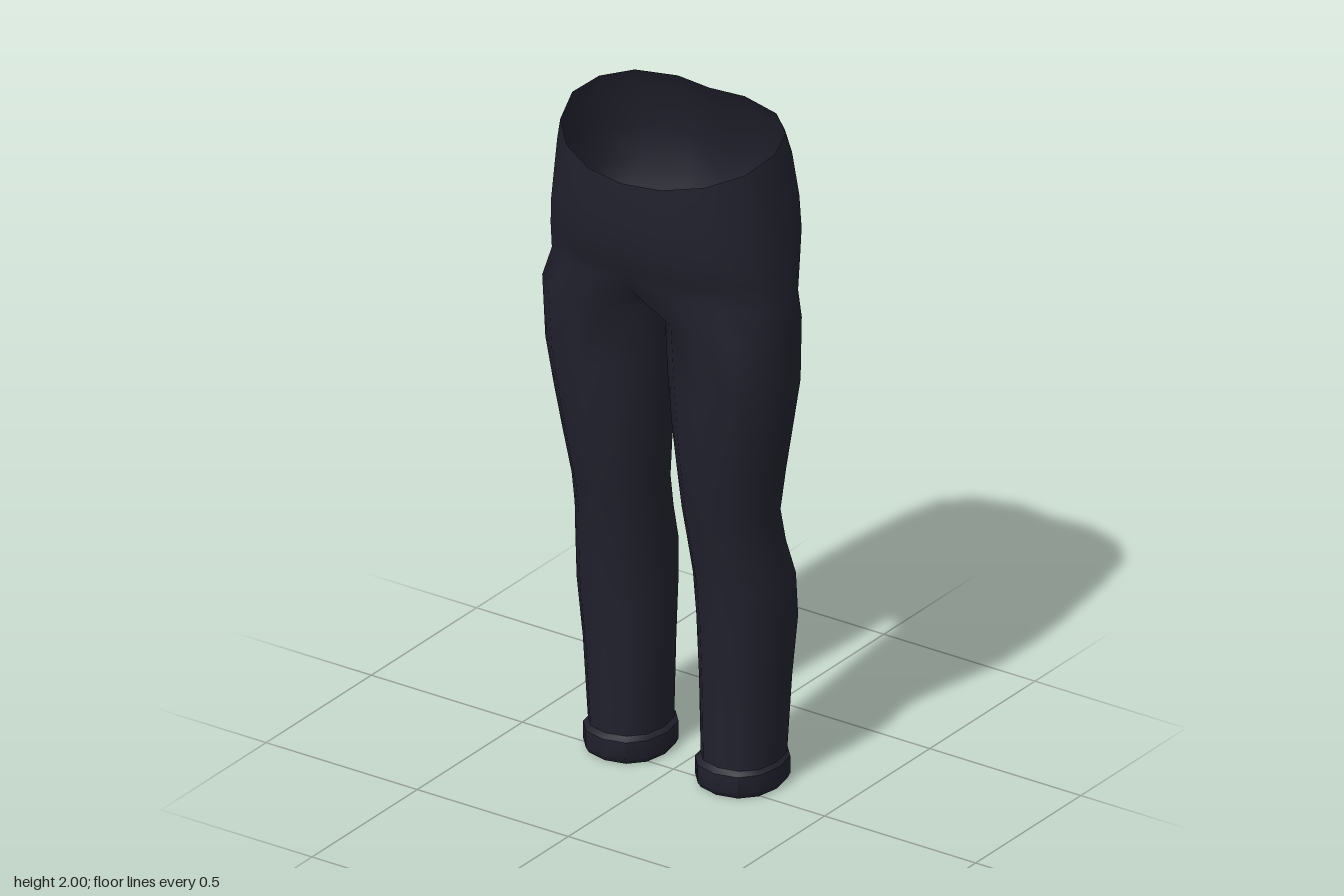
import * as THREE from 'three';
import { mergeVertices, toCreasedNormals } from 'three/addons/utils/BufferGeometryUtils.js';

const SIDES = 12;

// Half outline of the hips, from front centre round the outside to back centre
const HIP_X = [0, 0.36, 0.68, 0.91, 1, 0.92, 0.7, 0.33, 0];
const HIP_Z = [1, 0.93, 0.72, 0.4, 0, -0.5, -0.85, -1, -0.95];

// Hip rows: front y, side y, back y, half width, front depth, back depth
const HIPS = [
  [1.88, 1.96, 2.0, 0.335, 0.25, 0.18],
  [1.83, 1.9, 1.94, 0.345, 0.252, 0.215],
  [1.76, 1.78, 1.79, 0.357, 0.252, 0.253],
  [1.68, 1.68, 1.7, 0.369, 0.247, 0.243],
  [1.6, 1.6, 1.62, 0.377, 0.228, 0.207],
  [1.53, 1.51, 1.53, 0.382, 0.197, 0.175],
];

// Leg rows: y, inner x, outer x, front z, back z
const LEG = [
  [1.44, 0.02, 0.385, 0.182, -0.168],
  [1.25, 0.024, 0.381, 0.168, -0.163],
  [1.1, 0.032, 0.356, 0.153, -0.154],
  [0.97, 0.043, 0.333, 0.137, -0.147],
  [0.84, 0.052, 0.312, 0.117, -0.142],
  [0.74, 0.056, 0.316, 0.097, -0.162],
  [0.63, 0.062, 0.327, 0.084, -0.2],
  [0.5, 0.066, 0.33, 0.072, -0.204],
  [0.32, 0.072, 0.312, 0.062, -0.196],
  [0.07, 0.077, 0.296, 0.055, -0.188],
];

// Turned-up hem, from the outside over the bottom edge to the inside
const CUFF = [
  [0.08, 0.077, 0.296, 0.055, -0.187],
  [0.068, 0.064, 0.306, 0.072, -0.198],
  [0.016, 0.064, 0.306, 0.072, -0.198],
  [0.0, 0.072, 0.298, 0.062, -0.19],
  [0.006, 0.086, 0.288, 0.048, -0.162],
  [0.06, 0.086, 0.288, 0.048, -0.15],
];

function hipRing([yf, ys, yb, w, front, back]) {
  return HIP_X.map((fx, i) => {
    const fz = HIP_Z[i];
    const y = ys + ((fz > 0 ? yf : yb) - ys) * Math.abs(fz);
    return [fx * w, y, fz * (fz > 0 ? front : back)];
  });
}

function legRing([y, inner, outer, front, back]) {
  const soft = (v) => Math.sign(v) * Math.abs(v) ** 0.88;
  return Array.from({ length: SIDES }, (_, i) => {
    const a = ((i - 1) / SIDES) * Math.PI * 2;
    return [
      (inner + outer) / 2 + soft(Math.sin(a)) * (outer - inner) / 2,
      y,
      (front + back) / 2 + soft(Math.cos(a)) * (front - back) / 2,
    ];
  });
}

// Joins two rings, top to bottom, with triangles facing outwards
function bridge(tris, top, bottom, closed) {
  const n = top.length;
  for (let i = 0; i < (closed ? n : n - 1); i++) {
    const j = (i + 1) % n;
    tris.push([top[i], bottom[i], bottom[j]], [top[i], bottom[j], top[j]]);
  }
}

function loft(tris, rings, closed) {
  for (let r = 0; r < rings.length - 1; r++) bridge(tris, rings[r], rings[r + 1], closed);
}

function mirrored(tris) {
  const flip = ([x, y, z]) => [-x, y, z];
  return tris.map(([a, b, c]) => [flip(a), flip(c), flip(b)]);
}

function toGeometry(tris) {
  const g = new THREE.BufferGeometry();
  g.setAttribute('position', new THREE.Float32BufferAttribute(tris.flat(2), 3));
  return g;
}

export function createModel() {
  const group = new THREE.Group();
  group.name = 'trousers';
  const cloth = new THREE.MeshStandardMaterial({ color: 0x21212d, side: THREE.DoubleSide });
  cloth.name = 'dark navy cloth';

  // Hips and one leg; the last hip row is closed by a crotch seam to start the leg
  const half = [];
  const hips = HIPS.map(hipRing);
  loft(half, hips, false);
  const seam = [[0, 1.49, -0.1], [0, 1.48, 0], [0, 1.482, 0.09]];
  loft(half, [[...hips[hips.length - 1], ...seam], ...LEG.map(legRing)], true);

  // Both halves welded together along the centre
  const body = mergeVertices(toGeometry([...half, ...mirrored(half)]), 1e-4);
  body.computeVertexNormals();
  const trousers = new THREE.Mesh(body, cloth);
  trousers.name = 'hipsAndLegs';
  group.add(trousers);

  // Cuffs
  const cuff = [];
  loft(cuff, CUFF.map(legRing), true);
  for (const [name, tris] of [['leftCuff', cuff], ['rightCuff', mirrored(cuff)]]) {
    const mesh = new THREE.Mesh(toCreasedNormals(toGeometry(tris), 0.6), cloth);
    mesh.name = name;
    group.add(mesh);
  }
  return group;
}
